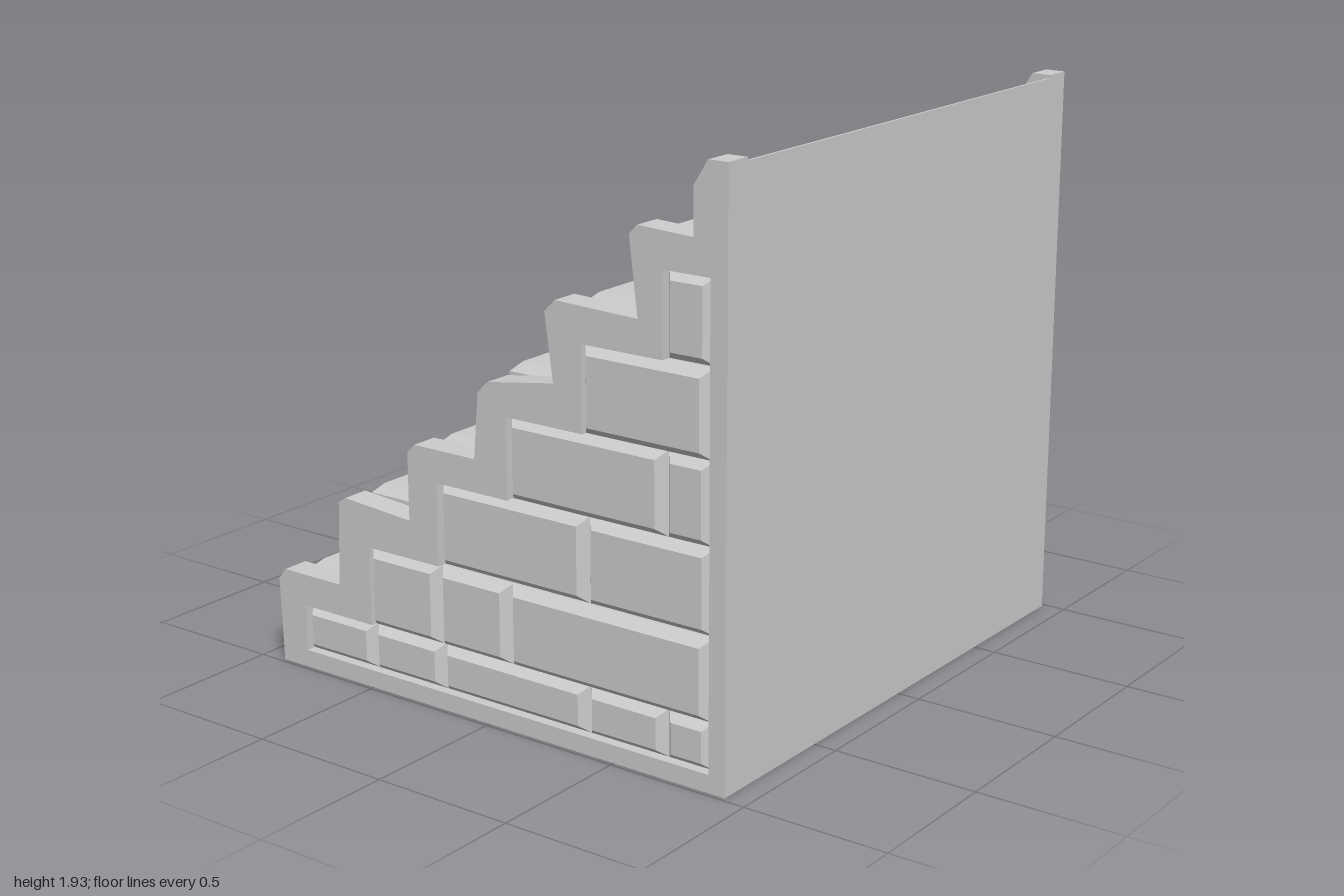
import * as THREE from 'three';

const material = new THREE.MeshStandardMaterial({ color: 0xcccccc, flatShading: true });

function addMesh(parent, name, geometry) {
  const mesh = new THREE.Mesh(geometry, material);
  mesh.name = name;
  parent.add(mesh);
  return mesh;
}

// Closed shape from [x, y] pairs
const outline = (points, Type = THREE.Shape) => new Type(points.map(([x, y]) => new THREE.Vector2(x, y)));

// Block standing on y = 0 whose upper edges are chamfered
function chamferedBlock(w, h, d, inset, drop) {
  const geometry = new THREE.BoxGeometry(w, h, d, 1, 2, 1);
  const p = geometry.attributes.position;
  for (let i = 0; i < p.count; i++) {
    const y = p.getY(i);
    if (y > h / 4) {
      p.setX(i, p.getX(i) - Math.sign(p.getX(i)) * inset);
      p.setZ(i, p.getZ(i) - Math.sign(p.getZ(i)) * inset);
      p.setY(i, h);
    } else {
      p.setY(i, y < -h / 4 ? 0 : h - drop);
    }
  }
  const flat = geometry.toNonIndexed();
  flat.computeVertexNormals();
  return flat;
}

const STEP_X = [-0.86, -0.57, -0.27, 0.03, 0.33, 0.63, 0.915];
const INNER_Z = 0.89;

// Each step: stones as [z start, z end, top height]
const STEPS = [
  [[-0.89, 0.07, 0.34], [0.07, 0.37, 0.365], [0.37, 0.89, 0.345]],
  [[-0.89, -0.5, 0.625], [-0.5, 0.43, 0.64], [0.43, 0.89, 0.67]],
  [[-0.89, -0.41, 0.925], [-0.41, 0.08, 0.94], [0.08, 0.89, 0.895]],
  [[-0.89, 0.07, 1.17], [0.07, 0.4, 1.2], [0.4, 0.89, 1.185]],
  [[-0.89, -0.49, 1.49], [-0.49, 0.89, 1.45]],
  [[-0.89, 0.08, 1.725], [0.08, 0.89, 1.7]],
];

// Brick courses: bottom, top, outer face z, joints along x
const COURSES = [
  [0.06, 0.22, 0.985, [-0.8, -0.5, -0.2, 0.39, 0.69, 0.86]],
  [0.22, 0.49, 0.998, [-0.5, -0.2, 0.09, 0.86]],
  [0.49, 0.77, 0.985, [-0.2, 0.39, 0.86]],
  [0.77, 1.04, 0.988, [0.09, 0.69, 0.86]],
  [1.04, 1.32, 1.0, [0.39, 0.86]],
  [1.32, 1.59, 0.985, [0.69, 0.86]],
];

const WALL_PROFILE = [
  [-0.91, 0], [0.92, 0], [0.92, 1.93], [0.85, 1.93], [0.8, 1.85], [0.8, 1.7],
  [0.6, 1.71], [0.57, 1.68], [0.6, 1.43], [0.29, 1.44], [0.25, 1.4], [0.28, 1.18],
  [0.02, 1.14], [-0.02, 1.1], [-0.04, 0.88], [-0.29, 0.88], [-0.32, 0.85], [-0.32, 0.62],
  [-0.6, 0.64], [-0.63, 0.62], [-0.64, 0.33], [-0.89, 0.33], [-0.92, 0.29],
];

function createSteps() {
  const steps = new THREE.Group();
  steps.name = 'steps';

  // Solid core below the tread stones
  const bases = STEPS.map((stones) => Math.min(...stones.map((s) => s[2])) - 0.06);
  const core = [[STEP_X[6], 0], [STEP_X[6], bases[5]]];
  for (let i = 5; i >= 0; i--) {
    core.push([STEP_X[i], bases[i]], [STEP_X[i], i ? bases[i - 1] : 0]);
  }
  addMesh(steps, 'stairCore', new THREE.ExtrudeGeometry(outline(core), { depth: 2 * INNER_Z, bevelEnabled: false }))
    .position.z = -INNER_Z;

  // Chamfered tread stones
  STEPS.forEach((stones, i) => {
    const width = STEP_X[i + 1] - STEP_X[i];
    for (const [z0, z1, top] of stones) {
      addMesh(steps, 'treadStone', chamferedBlock(width, top - bases[i], z1 - z0, 0.03, 0.03))
        .position.set(STEP_X[i] + width / 2, bases[i], (z0 + z1) / 2);
    }
  });
  return steps;
}

function createSideWall(side) {
  const wall = new THREE.Group();
  wall.name = side > 0 ? 'frontWall' : 'rearWall';
  const slab = (name, shape, z0, z1) => {
    const geometry = new THREE.ExtrudeGeometry(shape, { depth: z1 - z0, bevelEnabled: false });
    addMesh(wall, name, geometry).position.z = side > 0 ? z0 : -z1;
  };

  // Stepped recess that follows the brick courses
  const recess = [[0.86, 0.06], [0.86, 1.59]];
  for (const [y0, y1, , xs] of [...COURSES].reverse()) recess.push([xs[0], y1], [xs[0], y0]);
  const rim = outline(WALL_PROFILE);
  rim.holes.push(outline(recess, THREE.Path));
  slab('wallBacking', outline(WALL_PROFILE), INNER_Z, 0.945);
  slab('wallRim', rim, 0.945, 0.985);

  // Chamfered bricks in the recess
  for (const [y0, y1, face, xs] of COURSES) {
    for (let i = 0; i < xs.length - 1; i++) {
      const geometry = chamferedBlock(xs[i + 1] - xs[i], face - 0.94, y1 - y0, 0.028, 0.035);
      geometry.rotateX(side * Math.PI / 2);
      addMesh(wall, 'brick', geometry).position.set((xs[i] + xs[i + 1]) / 2, (y0 + y1) / 2, side * 0.94);
    }
  }
  return wall;
}

export function createModel() {
  const model = new THREE.Group();
  model.name = 'stoneStaircase';
  model.add(createSteps(), createSideWall(1), createSideWall(-1));

  // Thin upright panel closing the high end
  addMesh(model, 'backPanel', new THREE.BoxGeometry(0.008, 1.92, 2 * INNER_Z)).position.set(0.916, 0.96, 0);
  return model;
}
